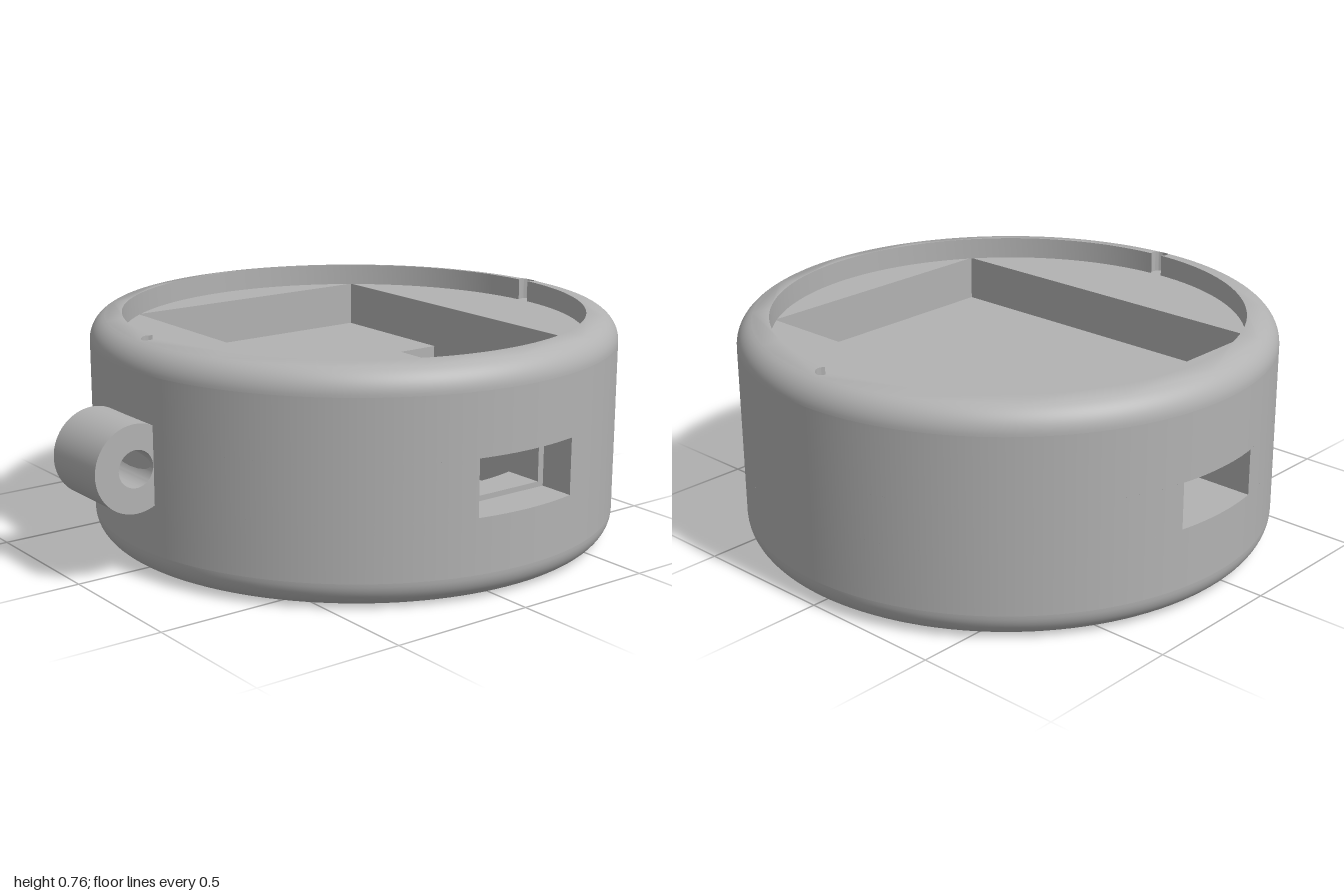
import * as THREE from 'three';
import { toCreasedNormals } from 'three/addons/utils/BufferGeometryUtils.js';

const R = 0.9, H = 0.765, FILLET = 0.09;      // outer body
const CAVITY = 0.64, CEILING = 0.47, FLOOR = 0.535, LEDGE = 0.69;
const PLATE = 0.85;                           // radius where the rim plate meets the top fillet

// window openings: half width in z and height range, outside and inside
const SMALL = { h: 0.17, y0: 0.293, y1: 0.45 };
const LARGE = { h: 0.1925, y0: 0.275, y1: 0.465 };

export function createModel() {
  const grey = new THREE.MeshStandardMaterial({ color: 0xb2b2b2, side: THREE.DoubleSide });
  grey.name = 'grey';
  const root = new THREE.Group();
  root.name = 'roundHousing';
  const body = new THREE.Group();
  body.name = 'body';
  body.position.z = -0.1;
  root.add(body);

  const add = (name, geometry, parent = body) => {
    const mesh = new THREE.Mesh(geometry, grey);
    mesh.name = name;
    parent.add(mesh);
    return mesh;
  };
  const lathe = (points, start = 0, length = Math.PI * 2) =>
    new THREE.LatheGeometry(points.map(([r, y]) => new THREE.Vector2(r, y)),
      Math.max(2, Math.ceil(length / Math.PI * 64)), start, length);

  // quarter-round profile between two angles
  const fillet = (cy, a0, a1) => Array.from({ length: 13 }, (_, i) => {
    const a = a0 + (a1 - a0) * i / 12;
    return [R - FILLET + FILLET * Math.cos(a), cy + FILLET * Math.sin(a)];
  });

  // half cylinder wall with a rectangular window in its middle
  const halfWall = (name, r, yA, yB, side, w) => {
    const start = side > 0 ? 0 : Math.PI, a = Math.asin(w.h / r), mid = Math.PI / 2 - a;
    add(name, lathe([[r, yA], [r, w.y0]], start, Math.PI));
    add(name, lathe([[r, w.y1], [r, yB]], start, Math.PI));
    add(name, lathe([[r, w.y0], [r, w.y1]], start, mid));
    add(name, lathe([[r, w.y0], [r, w.y1]], start + Math.PI / 2 + a, mid));
  };

  // four faces of a window tunnel between two x limits given as functions of z
  const tunnel = (name, side, w, xIn, xOut) => {
    const v = [], n = 12;
    const quad = (a, b, c, d) => v.push(...a, ...b, ...c, ...a, ...c, ...d);
    for (let i = 0; i < n; i++) {
      const z0 = -w.h + 2 * w.h * i / n, z1 = z0 + 2 * w.h / n;
      for (const y of [w.y0, w.y1]) {
        const q = [[side * xIn(z0), y, z0], [side * xIn(z1), y, z1],
          [side * xOut(z1), y, z1], [side * xOut(z0), y, z0]];
        if ((y === w.y0) !== (side > 0)) q.reverse();
        quad(...q);
      }
    }
    for (const z of [-w.h, w.h]) {
      const q = [[side * xIn(z), w.y0, z], [side * xOut(z), w.y0, z],
        [side * xOut(z), w.y1, z], [side * xIn(z), w.y1, z]];
      if ((z < 0) !== (side > 0)) q.reverse();
      quad(...q);
    }
    const g = new THREE.BufferGeometry();
    g.setAttribute('position', new THREE.Float32BufferAttribute(v, 3));
    g.computeVertexNormals();
    add(name, g);
  };

  const rect = (Type, x0, y0, x1, y1) => new Type([[x0, y0], [x1, y0], [x1, y1], [x0, y1]]
    .map(([x, y]) => new THREE.Vector2(x, y)));

  // round plate with one cut-out, lying between two heights
  const plate = (hole, y0, y1) => {
    const shape = new THREE.Shape().absarc(0, 0, PLATE, 0, Math.PI * 2);
    shape.holes.push(hole);
    const g = new THREE.ExtrudeGeometry(shape, { depth: y1 - y0, bevelEnabled: false, curveSegments: 64 });
    return toCreasedNormals(g.rotateX(-Math.PI / 2).translate(0, y0, 0), 0.5);
  };

  // outer skin
  const topStart = Math.acos((PLATE - R + FILLET) / FILLET);
  add('bottomFillet', lathe(fillet(FILLET, -Math.PI / 2, 0)));
  add('topFillet', lathe(fillet(H - FILLET, 0, topStart)));
  halfWall('outerWall', R, FILLET, H - FILLET, 1, LARGE);
  halfWall('outerWall', R, FILLET, H - FILLET, -1, SMALL);

  // underside ring, stepped opening and lower cavity
  add('undersideRing', lathe([[0.665, 0], [R - FILLET, 0]]));
  add('openingWall', lathe([[0.665, 0.07], [0.665, 0]]));
  add('openingStep', lathe([[CAVITY, 0.07], [0.665, 0.07]]));
  for (const side of [1, -1]) halfWall('cavityWall', CAVITY, 0.07, CEILING, side, SMALL);

  // side windows; the left one has a wider recess outside
  const onCircle = r => z => Math.sqrt(r * r - z * z);
  const stepX = () => 0.755;
  tunnel('rightWindow', -1, SMALL, onCircle(CAVITY), onCircle(R));
  tunnel('leftWindow', 1, SMALL, onCircle(CAVITY), stepX);
  tunnel('leftWindowRecess', 1, LARGE, stepX, onCircle(R));
  const frame = rect(THREE.Shape, -LARGE.h, LARGE.y0, LARGE.h, LARGE.y1);
  frame.holes.push(rect(THREE.Path, -SMALL.h, SMALL.y0, SMALL.h, SMALL.y1));
  add('leftWindowStep', new THREE.ShapeGeometry(frame).rotateY(Math.PI / 2).translate(0.755, 0, 0));

  // pocket floor with its slot, and the ledge around the pocket
  add('pocketFloor', plate(rect(THREE.Path, -0.133, 0.32, 0.133, 0.4775), CEILING, FLOOR));
  add('pocketLedge', plate(rect(THREE.Path, -0.638, -0.4775, 0.638, 0.4775), FLOOR, LEDGE));

  // rim with two round notches
  const P = Math.PI, b = 0.028, g = 0.743;
  const rimHole = new THREE.Path();
  rimHole.absarc(0, 0, 0.79, P / 2 + b, 1.5 * P - b);
  rimHole.absarc(0, -0.81, 0.03, P - g, 2 * P + g);
  rimHole.absarc(0, 0, 0.79, 1.5 * P + b, 2.5 * P - b);
  rimHole.absarc(0, 0.81, 0.03, -g, P + g);
  const rim = plate(rimHole, LEDGE, H);
  const pos = rim.attributes.position, nor = rim.attributes.normal;
  for (let i = 0; i < pos.count; i++) {          // let the top follow the start of the fillet
    const x = pos.getX(i), z = pos.getZ(i), r = Math.hypot(x, z);
    const d = Math.max(0, r - (R - FILLET)), up = Math.sqrt(FILLET * FILLET - d * d);
    if (pos.getY(i) < H - 0.001) continue;
    pos.setY(i, H - FILLET + up);
    if (nor.getY(i) > 0.9) nor.setXYZ(i, x / r * d / FILLET, up / FILLET, z / r * d / FILLET);
  }
  add('rim', rim);

  // hanging loop at the front
  const ring = new THREE.Shape().absarc(0, 0, 0.146, 0, P * 2);
  ring.holes.push(new THREE.Path().absarc(0, 0, 0.062, 0, P * 2));
  const loop = new THREE.ExtrudeGeometry(ring, { depth: 0.264, bevelEnabled: false, curveSegments: 32 });
  loop.translate(0, 0, -0.132).rotateY(-P / 2).translate(0, 0.388, 0.854);
  add('hangingLoop', toCreasedNormals(loop, 0.5), root);

  return root;
}
